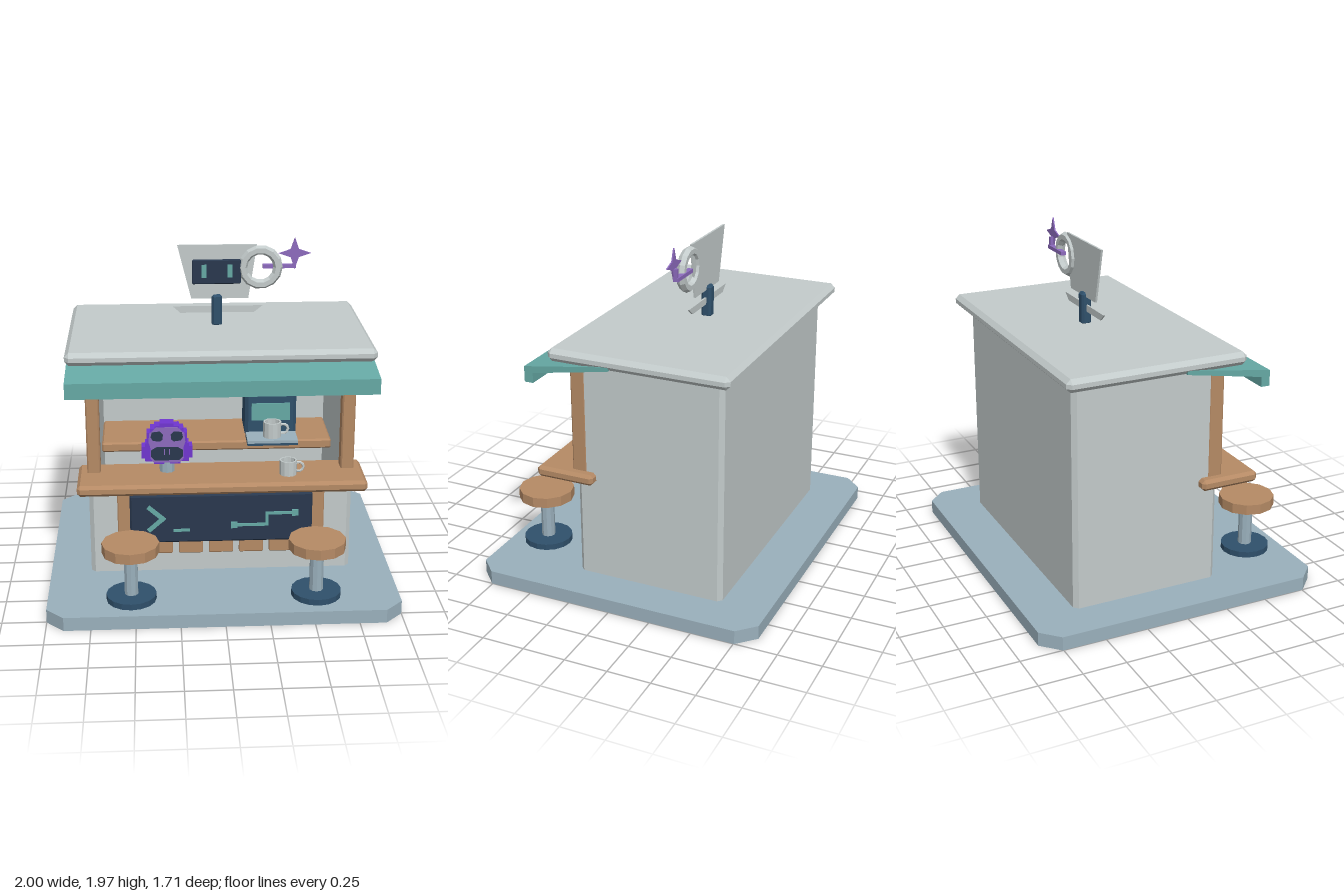
import * as THREE from 'three';
import { ConvexGeometry } from 'three/addons/geometries/ConvexGeometry.js';

const mat = (name, color, side = THREE.FrontSide) => {
  const m = new THREE.MeshStandardMaterial({ color, flatShading: true, side });
  m.name = name;
  return m;
};

export function createModel() {
  const M = {
    wall: mat('pale grey', 0xc3cbcb),
    base: mat('blue grey', 0x9ab0bc),
    wood: mat('wood', 0xb58a65),
    teal: mat('teal', 0x66a9a5),
    blue: mat('deep blue', 0x2f506b),
    navy: mat('navy', 0x29384e),
    purple: mat('bright purple', 0x7036d0),
    violet: mat('soft violet', 0x8d6bbd),
  };
  const root = new THREE.Group();
  const group = (name) => {
    const g = new THREE.Group();
    g.name = name;
    root.add(g);
    return g;
  };
  const add = (parent, name, geo, material, x = 0, y = 0, z = 0) => {
    const m = new THREE.Mesh(geo, material);
    m.name = name;
    m.position.set(x, y, z);
    parent.add(m);
    return m;
  };
  // Box given by its limits; a bevel cuts all edges at 45 degrees
  const box = (parent, name, material, x0, x1, y0, y1, z0, z1, bevel = 0) => {
    const s = [x1 - x0, y1 - y0, z1 - z0];
    let geo;
    if (bevel) {
      const pts = [];
      for (const i of [-1, 1]) for (const j of [-1, 1]) for (const k of [-1, 1])
        for (let full = 0; full < 3; full++) {
          const c = [i, j, k].map((d, a) => d * (s[a] / 2 - (a === full ? 0 : bevel)));
          pts.push(new THREE.Vector3(...c));
        }
      geo = new ConvexGeometry(pts);
    } else geo = new THREE.BoxGeometry(...s);
    return add(parent, name, geo, material, (x0 + x1) / 2, (y0 + y1) / 2, (z0 + z1) / 2);
  };
  const shape = (pts) => new THREE.Shape(pts.map((p) => new THREE.Vector2(...p)));
  const extrude = (s, depth) => new THREE.ExtrudeGeometry(s, { depth, bevelEnabled: false });
  const cyl = (r, h, n) => new THREE.CylinderGeometry(r, r, h, n);
  // Thin strokes joining points on a plane facing the front
  const stroke = (parent, name, pts, w, z, material) => {
    for (let i = 1; i < pts.length; i++) {
      const [ax, ay] = pts[i - 1], [bx, by] = pts[i];
      const len = Math.hypot(bx - ax, by - ay) + w;
      const m = add(parent, name, new THREE.BoxGeometry(len, w, 0.008), material, (ax + bx) / 2, (ay + by) / 2, z);
      m.rotation.z = Math.atan2(by - ay, bx - ax);
    }
  };

  // Ground slab with cut corners
  const slab = shape([[-0.9, -0.855], [0.9, -0.855], [1, -0.755], [1, 0.755], [0.9, 0.855], [-0.9, 0.855], [-1, 0.755], [-1, -0.755]]);
  add(root, 'groundSlab', extrude(slab, 0.08).rotateX(-Math.PI / 2), M.base);

  // Hollow kiosk: closed below the counter, open at the front above it
  const kiosk = group('kiosk');
  const lower = shape([[-0.74, -0.3], [0.74, -0.3], [0.765, -0.275], [0.765, 0.555], [0.74, 0.58], [-0.74, 0.58], [-0.765, 0.555], [-0.765, -0.275]]);
  lower.holes.push(shape([[-0.7, -0.24], [-0.7, 0.53], [0.7, 0.53], [0.7, -0.24]]));
  add(kiosk, 'lowerWalls', extrude(lower, 0.6).rotateX(-Math.PI / 2), M.wall, 0, 0.08, 0);
  const upper = shape([[0.7, -0.25], [0.765, -0.25], [0.765, 0.555], [0.74, 0.58], [-0.74, 0.58], [-0.765, 0.555], [-0.765, -0.25], [-0.7, -0.25], [-0.7, 0.53], [0.7, 0.53]]);
  add(kiosk, 'upperWalls', extrude(upper, 0.72).rotateX(-Math.PI / 2), M.wall, 0, 0.68, 0);
  box(kiosk, 'roof', M.wall, -0.87, 0.87, 1.385, 1.46, -0.65, 0.41, 0.025);
  box(kiosk, 'counter', M.wood, -0.82, 0.82, 0.655, 0.72, 0.18, 0.53, 0.018);
  box(kiosk, 'backShelf', M.wood, -0.7, 0.7, 0.66, 0.72, -0.54, -0.14, 0.01);
  for (const s of [-1, 1])
    box(kiosk, 'frontPost', M.wood, s * 0.73 - 0.038, s * 0.73 + 0.038, 0.7, 1.36, 0.235, 0.325, 0.008);

  // Sloping awning with a hanging lip, drawn as a side profile
  const awning = shape([[-0.04, 1.41], [-0.55, 1.335], [-0.55, 1.245], [-0.498, 1.245], [-0.498, 1.303], [-0.04, 1.385]]);
  add(kiosk, 'awning', extrude(awning, 1.73).rotateY(Math.PI / 2), M.teal, -0.865, 0, 0);

  // Slats and the dark board on the front
  const front = group('frontBoard');
  for (let i = 0; i < 7; i++) {
    const x = (i - 3) * 0.177;
    box(front, 'slat', M.wood, x - 0.071, x + 0.071, 0.2, 0.6, 0.295, 0.328, 0.006);
  }
  box(front, 'board', M.navy, -0.53, 0.53, 0.285, 0.585, 0.32, 0.36, 0.01);
  stroke(front, 'chevron', [[-0.415, 0.507], [-0.34, 0.44], [-0.415, 0.373]], 0.026, 0.363, M.teal);
  stroke(front, 'dash', [[-0.272, 0.365], [-0.19, 0.365]], 0.016, 0.363, M.teal);
  stroke(front, 'trace', [[0.075, 0.392], [0.265, 0.392], [0.265, 0.463], [0.43, 0.463]], 0.017, 0.363, M.teal);
  for (const [x, y] of [[0.075, 0.392], [0.43, 0.463]])
    box(front, 'traceEnd', M.teal, x - 0.019, x + 0.019, y - 0.019, y + 0.019, 0.36, 0.369);

  // Stools
  for (const x of [-0.525, 0.525]) {
    const stool = group('stool');
    stool.position.set(x, 0, 0.645);
    add(stool, 'stoolBase', cyl(0.142, 0.035, 16), M.blue, 0, 0.0975, 0);
    add(stool, 'stoolColumn', cyl(0.04, 0.26, 10), M.base, 0, 0.245, 0);
    add(stool, 'stoolSeat', cyl(0.162, 0.06, 12), M.wood, 0, 0.4, 0);
  }

  // Mugs: outer wall, rim and hollow inside turned as one profile
  const mug = (x, y, z, r, h) => {
    const g = group('mug');
    g.position.set(x, y, z);
    const pts = [[0, 0], [r, 0], [r, h], [r * 0.82, h], [r * 0.82, h * 0.2], [0, h * 0.2]];
    add(g, 'mugBody', new THREE.LatheGeometry(pts.map((p) => new THREE.Vector2(...p)), 12), M.wall);
    add(g, 'mugHandle', new THREE.TorusGeometry(r * 0.55, r * 0.16, 6, 10), M.wall, r * 1.2, h * 0.5, 0);
  };
  mug(0.38, 0.72, 0.39, 0.05, 0.085);
  mug(0.335, 0.755, -0.12, 0.055, 0.095);

  // Drinks machine on the back shelf
  const machine = group('drinksMachine');
  box(machine, 'machineBody', M.blue, 0.175, 0.49, 0.72, 1.015, -0.46, -0.2, 0.02);
  box(machine, 'machineScreen', M.teal, 0.215, 0.45, 0.83, 0.94, -0.2, -0.192);
  box(machine, 'machineFoot', M.blue, 0.18, 0.485, 0.72, 0.738, -0.21, -0.05);
  box(machine, 'dripTray', M.base, 0.18, 0.485, 0.738, 0.755, -0.2, -0.04);

  // Robot head ornament on a short pedestal, with a stepped outline
  const head = group('robotHead');
  head.position.set(-0.31, 0, 0);
  add(head, 'pedestal', cyl(0.045, 0.08, 10), M.base, 0, 0.76, 0.3);
  const half = [[0.075, 0.775], [0.075, 0.79], [0.125, 0.79], [0.125, 0.81], [0.145, 0.81], [0.145, 0.88], [0.125, 0.88], [0.125, 0.9], [0.115, 0.9],
    [0.115, 0.965], [0.095, 0.965], [0.095, 0.99], [0.07, 0.99], [0.07, 1.005], [0.04, 1.005], [0.04, 1.02]];
  const outline = [...half, ...half.map(([x, y]) => [-x, y]).reverse()];
  add(head, 'headShell', extrude(shape(outline), 0.075), M.purple, 0, 0, 0.265);
  const face = shape([[-0.075, 0.785], [0.075, 0.785], [0.095, 0.81], [0.095, 0.88], [0.105, 0.91], [0.1, 0.96], [0.06, 0.998], [-0.06, 0.998], [-0.1, 0.96], [-0.105, 0.91], [-0.095, 0.88], [-0.095, 0.81]]);
  add(head, 'facePlate', extrude(face, 0.006), M.violet, 0, 0, 0.34);
  const mouth = shape([[-0.07, 0.8], [0.07, 0.8], [0.092, 0.825], [0.092, 0.86], [0.06, 0.88], [-0.06, 0.88], [-0.092, 0.86], [-0.092, 0.825]]);
  add(head, 'mouth', extrude(mouth, 0.004), M.navy, 0, 0, 0.346);
  for (const s of [-1, 1]) {
    const eye = [[0.025, 0.925], [0.04, 0.915], [0.08, 0.92], [0.092, 0.94], [0.085, 0.97], [0.04, 0.975], [0.022, 0.955]].map(([x, y]) => [s * x, y]);
    add(head, 'eye', extrude(shape(eye), 0.004), M.navy, 0, 0, 0.346);
    box(head, 'tooth', M.violet, s * 0.015 - 0.003, s * 0.015 + 0.003, 0.835, 0.87, 0.349, 0.353);
  }

  // Rooftop cup sign
  const sign = group('cupSign');
  box(sign, 'signPost', M.blue, -0.03, 0.03, 1.45, 1.64, -0.19, -0.13, 0.012);
  add(sign, 'cupPlate', extrude(shape([[-0.15, 1.615], [0.185, 1.615], [0.235, 1.935], [-0.23, 1.935]]), 0.012), M.wall, 0, 0, -0.165);
  add(sign, 'saucerPlate', extrude(shape([[-0.215, 1.53], [0.22, 1.53], [0.27, 1.57], [-0.26, 1.57]]), 0.01), M.wall, 0, 0, -0.164);
  box(sign, 'signScreen', M.navy, -0.145, 0.14, 1.705, 1.85, -0.155, -0.135, 0.006);
  for (const x of [-0.075, 0.075])
    box(sign, 'screenEye', M.teal, x - 0.014, x + 0.014, 1.745, 1.822, -0.136, -0.127);
  add(sign, 'cupHandle', new THREE.TorusGeometry(0.103, 0.028, 6, 14), M.wall, 0.255, 1.8, -0.155);

  // Star on a bent arm
  box(sign, 'starArm', M.violet, 0.27, 0.465, 1.79, 1.812, -0.187, -0.157);
  box(sign, 'starArmRise', M.violet, 0.445, 0.465, 1.8, 1.86, -0.18, -0.16);
  const star = [];
  for (let i = 0; i < 8; i++) {
    const a = (i * Math.PI) / 4, r = i % 2 ? 0.034 : 0.094;
    star.push([r * Math.cos(a), r * Math.sin(a)]);
  }
  add(sign, 'star', extrude(shape(star), 0.008), M.violet, 0.455, 1.88, -0.16);

  return root;
}
